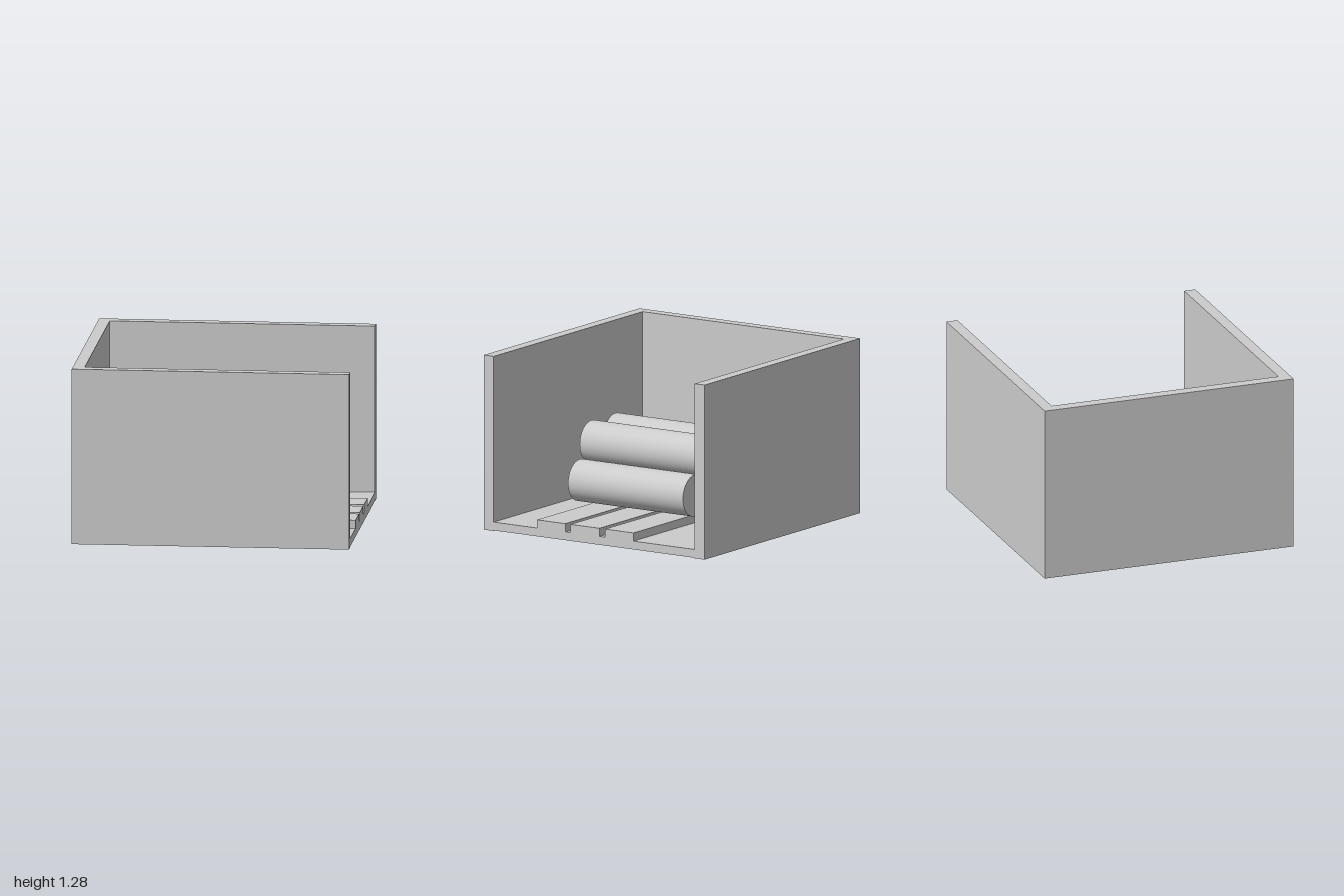
import * as THREE from 'three';

export function createModel() {
  const group = new THREE.Group();
  const material = new THREE.MeshStandardMaterial({ color: 0xcccccc });
  const add = (name, geometry, x, y, z) => {
    const mesh = new THREE.Mesh(geometry, material);
    mesh.name = name;
    mesh.position.set(x, y, z);
    group.add(mesh);
    return mesh;
  };

  const height = 1.28, wall = 0.085, halfDepth = 0.955;
  const length = 2 - wall, midX = wall / 2; // everything right of the end wall

  // End wall and two side walls, leaving the +x side and the top open
  add('endWall', new THREE.BoxGeometry(wall, height, halfDepth * 2), -1 + wall / 2, height / 2, 0);
  for (const [name, s] of [['frontWall', 1], ['backWall', -1]]) {
    add(name, new THREE.BoxGeometry(length, height, wall), midX, height / 2, s * (halfDepth - wall / 2));
  }

  // Floor with three raised slats, extruded along x from its cross-section
  const inner = halfDepth - wall, low = 0.065, high = 0.125;
  const profile = new THREE.Shape();
  profile.moveTo(-inner, 0.004);
  profile.lineTo(inner, 0.004);
  profile.lineTo(inner, low);
  for (const [a, b] of [[0.495, 0.25], [0.205, -0.045], [-0.093, -0.34]]) {
    profile.lineTo(a, low);
    profile.lineTo(a, high);
    profile.lineTo(b, high);
    profile.lineTo(b, low);
  }
  profile.lineTo(-inner, low);
  profile.closePath();
  const floorGeometry = new THREE.ExtrudeGeometry(profile, { depth: length, bevelEnabled: false });
  floorGeometry.rotateY(-Math.PI / 2); // shape x -> z, depth -> -x
  add('slattedFloor', floorGeometry, 1, 0, 0);

  // Pyramid stack of rollers lying along z: three below, two above
  const rollerGeometry = new THREE.CylinderGeometry(0.152, 0.152, 0.995, 64).rotateX(Math.PI / 2);
  for (const x of [-0.268, 0.043, 0.353]) add('lowerRoller', rollerGeometry, x, 0.3, 0.062);
  for (const x of [-0.105, 0.203]) add('upperRoller', rollerGeometry, x, 0.56, 0.062);

  return group;
}
